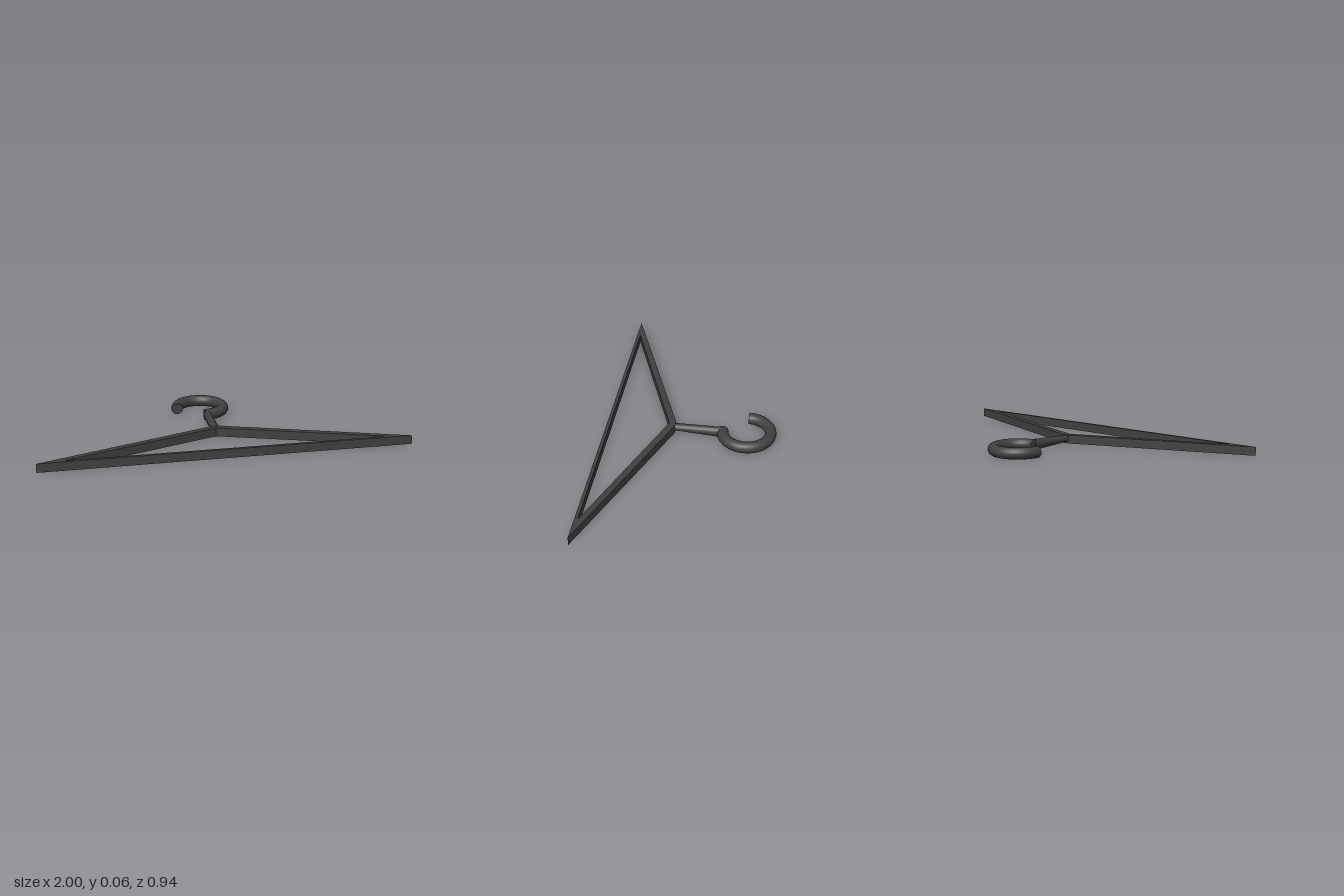
import * as THREE from 'three';

const material = new THREE.MeshStandardMaterial({ color: 0x404040 });
const MID_Y = 0.034;
const HOOK = { z: -0.307, radius: 0.133, tube: 0.032 };

function addPart(group, name, geometry, x = 0, y = 0, z = 0) {
  const mesh = new THREE.Mesh(geometry, material);
  mesh.name = name;
  mesh.position.set(x, y, z);
  group.add(mesh);
  return mesh;
}

// Flat triangular frame: two sloping arms and the bottom bar in one outline
function frameGeometry() {
  const outline = new THREE.Shape([[-1, 0.468], [-0.02, 0.092], [0.025, 0.092], [1, 0.468]]
    .map(([x, z]) => new THREE.Vector2(x, z)));
  outline.holes.push(new THREE.Path([[0, 0.126], [-0.86, 0.45], [0.86, 0.45]]
    .map(([x, z]) => new THREE.Vector2(x, z))));
  return new THREE.ExtrudeGeometry(outline, { depth: 0.048, bevelEnabled: false }).rotateX(Math.PI / 2);
}

// Tapered neck: a cylinder along z, reshaped to oval sections that shift sideways
function neckGeometry(zBack, zFront) {
  const geometry = new THREE.CylinderGeometry(1, 1, 1, 16, 1).rotateX(Math.PI / 2);
  const p = geometry.attributes.position;
  for (let i = 0; i < p.count; i++) {
    const t = p.getZ(i) + 0.5;
    const x = THREE.MathUtils.lerp(0.015, 0.003, t) + p.getX(i) * THREE.MathUtils.lerp(0.021, 0.025, t);
    const y = p.getY(i) * THREE.MathUtils.lerp(0.032, 0.017, t);
    p.setXYZ(i, x, y, THREE.MathUtils.lerp(zBack, zFront, t));
  }
  geometry.computeVertexNormals();
  return geometry;
}

export function createModel() {
  const group = new THREE.Group();
  group.name = 'clothesHanger';

  addPart(group, 'frame', frameGeometry(), 0, 0.055, 0);
  addPart(group, 'neck', neckGeometry(-0.17, 0.105), 0, MID_Y, 0);

  // Three-quarter ring lying flat, open at the front right
  const ring = new THREE.TorusGeometry(HOOK.radius, HOOK.tube, 16, 40, Math.PI * 1.5)
    .rotateZ(-Math.PI / 2).rotateX(-Math.PI / 2);
  addPart(group, 'hook', ring, 0, MID_Y, HOOK.z);

  // Flat caps on both ends of the ring
  const cap = new THREE.CircleGeometry(HOOK.tube, 16);
  addPart(group, 'hookTip', cap, -HOOK.radius, MID_Y, HOOK.z);
  addPart(group, 'hookBase', cap, 0, MID_Y, HOOK.z + HOOK.radius).rotation.y = -Math.PI / 2;

  return group;
}
